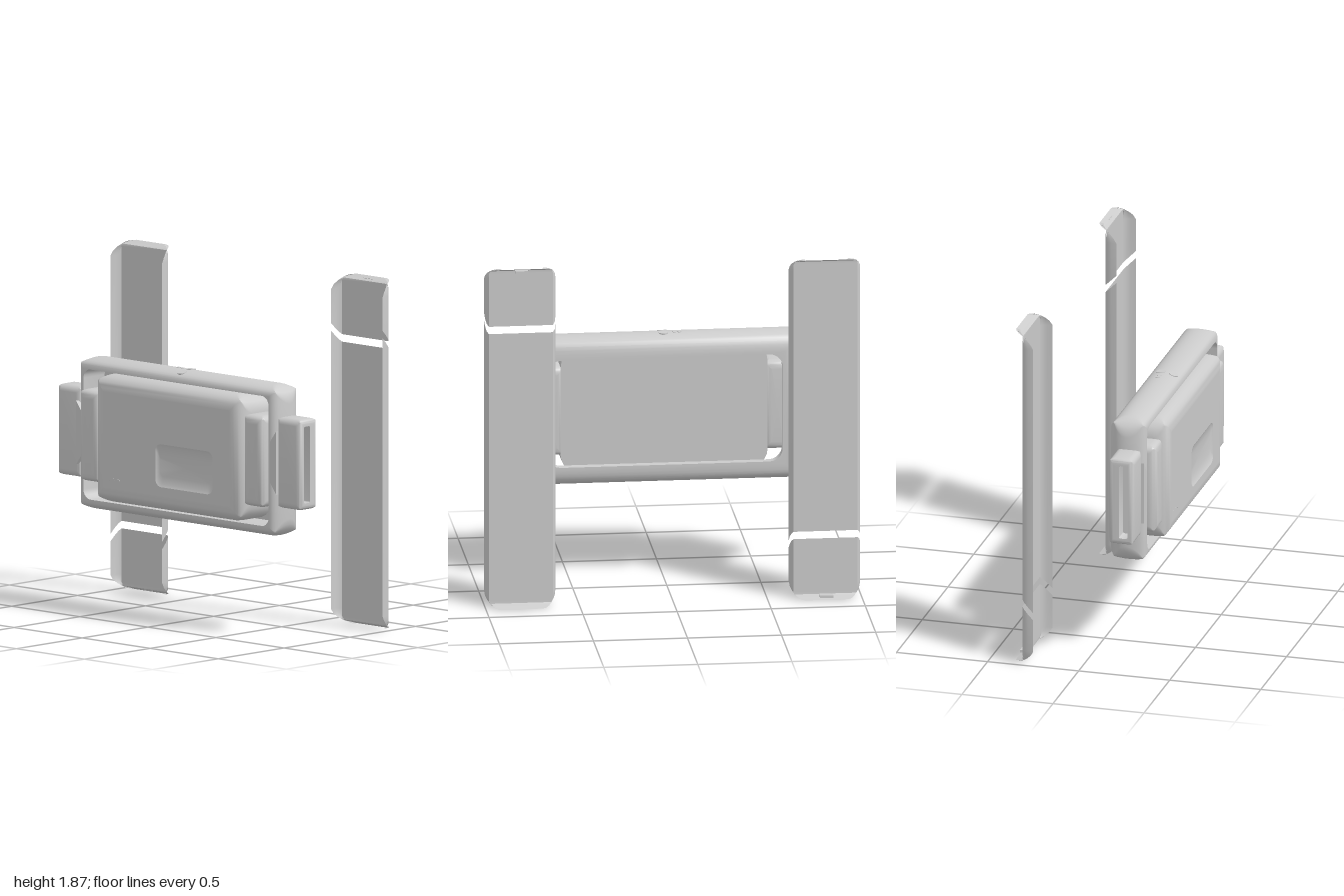
import * as THREE from 'three';
import { toCreasedNormals } from 'three/addons/utils/BufferGeometryUtils.js';

const grey = new THREE.MeshStandardMaterial({ color: 0xcccccc });
const thin = new THREE.MeshStandardMaterial({ color: 0xcccccc, side: THREE.DoubleSide });

// Rounded rectangle outline, counter-clockwise, always the same point count
function outline(hw, hh, r, cx = 0, cy = 0) {
  const pts = [];
  [[1, 1], [-1, 1], [-1, -1], [1, -1]].forEach(([sx, sy], q) => {
    for (let i = 0; i <= 5; i++) {
      const a = (q + i / 5) * Math.PI / 2;
      pts.push(new THREE.Vector2(cx + sx * (hw - r) + r * Math.cos(a), cy + sy * (hh - r) + r * Math.sin(a)));
    }
  });
  return pts;
}

// Grid of points to a surface with sharp creases
function skin(rows, closed) {
  const n = rows[0].length, index = [];
  for (let i = 0; i < rows.length - 1; i++) {
    for (let j = 0; j < (closed ? n : n - 1); j++) {
      const k = (j + 1) % n, a = i * n + j, b = i * n + k;
      index.push(a, b, b + n, a, b + n, a + n);
    }
  }
  const g = new THREE.BufferGeometry();
  g.setAttribute('position', new THREE.Float32BufferAttribute(rows.flat(2), 3));
  g.setIndex(index);
  return toCreasedNormals(g, 0.6);
}

// Skin through rounded rectangles given as [halfWidth, halfHeight, radius, z, centreX]
const loft = (loops) => skin(loops.map(([w, h, r, z, cx]) => outline(w, h, r, cx).map((p) => [p.x, p.y, z])), true);

// Quarter round with mitred corners, from the full size at z0 to an inset size at z1
function round(hw, hh, r, inset, z0, z1, steps = 8) {
  return Array.from({ length: steps + 1 }, (_, i) => {
    const a = i / steps * Math.PI / 2, d = inset * (1 - Math.cos(a));
    return [hw - d, hh - d, Math.max(r - 3.4 * d, 0.003), z0 + (z1 - z0) * Math.sin(a)];
  });
}
const point = (z, cx = 0) => [0, 0, 0, z, cx];

function pillow(hw, hh, z0, z1, bevel) {
  return loft([
    point(z0),
    ...round(hw, hh, 0.04, bevel, z0 + bevel, z0).reverse(),
    ...round(hw, hh, 0.04, bevel, z1 - bevel, z1),
    point(z1),
  ]);
}

function add(parent, name, geometry, x = 0, y = 0, z = 0, material = grey) {
  const m = new THREE.Mesh(geometry, material);
  m.name = name;
  m.position.set(x, y, z);
  parent.add(m);
  return m;
}

// Shallow channel whose ends fold back into a lip, from y0 to y1, with slanted cuts
const LENGTH = 1.87;
function shellPiece(y0, y1) {
  const ends = [0, 0.003, 0.01, 0.02, 0.035, 0.055, 0.08];
  const ys = [...ends, ...ends.map((e) => LENGTH - e)].filter((y) => y > y0 && y < y1)
    .concat(y0, y1).sort((a, b) => a - b);
  const rows = ys.map((y) => {
    const e = Math.min(y, LENGTH - y), t = Math.max(0, 1 - e / 0.08);
    const w = 0.19 - 0.075 * (1 - Math.sqrt(1 - t * t));
    const cut = (y === y0 && y0 > 0) || (y === y1 && y1 < LENGTH) ? 0.065 : 0;
    const back = -0.315 - 0.05 * Math.max(0, 1 - e / 0.02), front = -0.25 - 0.09 * t ** 1.5;
    const wall = [[w, 1], [w - 0.003, 0.55], [w - 0.009, 0.2], [Math.min(w - 0.003, 0.17), 0]];
    const right = wall.map(([x, f]) => [x, y + cut * f, back + (front - back) * f]);
    return [...right.map(([x, v, z]) => [-x, v, z]), ...right.reverse()];
  });
  return skin(rows, false);
}

export function createModel() {
  const model = new THREE.Group();
  model.name = 'device';
  const cy = 0.935;

  // Two split shells behind the body, one turned upside down
  for (const s of [1, -1]) {
    const shell = new THREE.Group();
    shell.name = s > 0 ? 'leftShell' : 'rightShell';
    add(shell, 'longPanel', shellPiece(0, 1.505), 0, 0, 0, thin);
    add(shell, 'shortPanel', shellPiece(1.545, LENGTH), 0, 0, 0, thin);
    add(shell, 'endTab', new THREE.BoxGeometry(0.07, 0.014, 0.03), 0, 1.853, -0.35);
    shell.position.set(s * 0.81, s > 0 ? 0 : LENGTH, 0);
    if (s < 0) shell.rotation.z = Math.PI;
    model.add(shell);
  }

  // Frame: round outside, with a front pocket and a smaller opening behind it
  add(model, 'frame', loft([
    [0.625, 0.295, 0.07, 0.08],
    ...round(0.74, 0.408, 0.1, 0.1, 0.183, 0.08).reverse(),
    ...round(0.74, 0.408, 0.1, 0.058, 0.183, 0.286).slice(1),
    [0.68, 0.348, 0.05, 0.286],
    [0.68, 0.348, 0.05, 0.125],
    [0.625, 0.295, 0.07, 0.125],
    [0.625, 0.295, 0.07, 0.08],
  ]), 0, cy);

  // Central slab in the pocket, with a dished window in its front face
  const slab = new THREE.Group();
  slab.name = 'slab';
  slab.position.y = 0.938;
  model.add(slab);
  const sides = round(0.55, 0.342, 0.1, 0.085, 0.275, 0.36);
  add(slab, 'slabBody', loft([point(0.13), [0.55, 0.342, 0.1, 0.13], ...sides]));
  const [fw, fh, fr] = sides[sides.length - 1];
  const face = new THREE.Shape(outline(fw, fh, fr));
  face.holes.push(new THREE.Path(outline(0.21, 0.115, 0.04, 0.13, -0.095)));
  add(slab, 'slabFace', new THREE.ShapeGeometry(face), 0, 0, 0.36);
  add(slab, 'window', loft([
    [0.21, 0.115, 0.04, 0.36], [0.203, 0.1, 0.038, 0.352],
    [0.19, 0.06, 0.03, 0.346], point(0.344),
  ]), 0.13, -0.095);
  for (let i = 0; i < 3; i++) {
    add(slab, 'indicator', new THREE.CylinderGeometry(0.008, 0.008, 0.006, 16), -0.425 + i * 0.036, -0.21, 0.358).rotation.x = Math.PI / 2;
  }

  // Inner pads, outer clips with a slot in the end, and flared tabs joining them
  for (const s of [1, -1]) {
    add(model, 'innerPad', pillow(0.077, 0.245, 0.125, 0.333, 0.045), s * 0.602, cy);
    const slot = -s * 0.014;
    const clip = loft([
      point(0),
      ...round(0.07, 0.243, 0.035, 0.03, 0.03, 0).reverse(),
      ...round(0.07, 0.243, 0.035, 0.03, 0.142, 0.172),
      [0.024, 0.205, 0.01, 0.172, slot],
      [0.024, 0.205, 0.01, 0.09, slot],
      point(0.09, slot),
    ]);
    add(model, 'outerClip', clip, s * 0.72, cy, 0.2).rotation.y = s * Math.PI / 2;
    const tab = new THREE.Shape([[0.66, 0.07], [0.735, 0.17], [0.735, -0.17], [0.66, -0.07]]
      .map(([x, y]) => new THREE.Vector2(s * x, y)));
    add(model, 'clipTab', new THREE.ExtrudeGeometry(tab, { depth: 0.05, bevelEnabled: false }), 0, cy, 0.235);
  }

  // Buttons and pin holes set into the top of the frame
  for (const [x, z, r] of [[0, 0.17, 0.025], [0, 0.238, 0.025], [-0.085, 0.177, 0.012], [-0.06, 0.177, 0.012]]) {
    const a = Math.asin((z - 0.183) / 0.103);
    add(model, 'topButton', new THREE.CylinderGeometry(r, r, 0.012, 24), x, 1.285 + 0.054 * Math.cos(a), z).rotation.x = a * 0.5;
  }
  return model;
}
